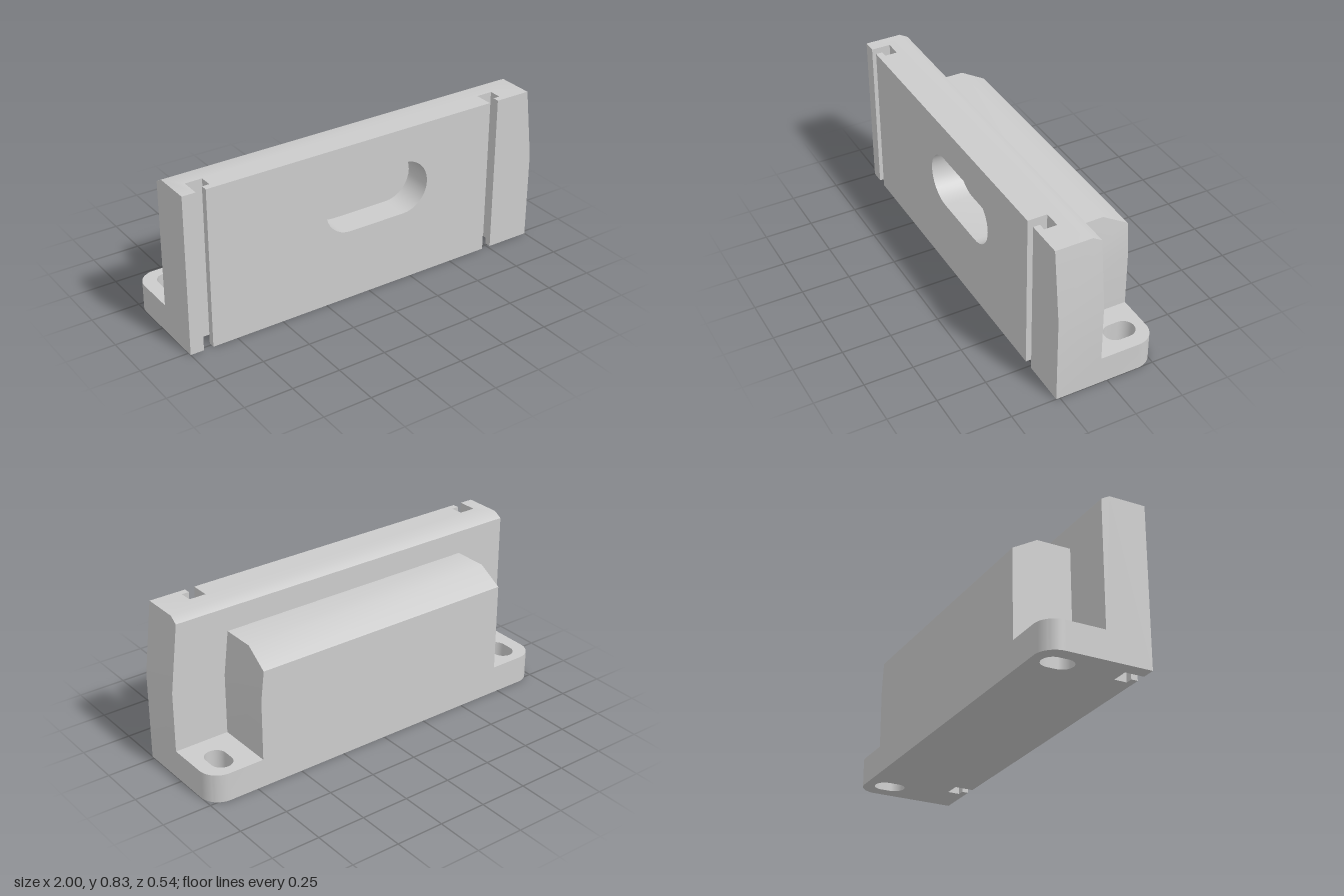
import * as THREE from 'three';
import { mergeGeometries, toCreasedNormals } from 'three/addons/utils/BufferGeometryUtils.js';

// Main dimensions
const F = 0.269, B = -0.269;              // front and back planes
const P = 0.036;                          // rear plane of the tall plate
const H = 0.829, HC = 0.804, ZC = 0.08;   // plate top, chamfer start height, chamfer depth
const EAR = 0.147, R = 0.1;               // ear height, ear corner radius
const BEND = 0.46;                        // height where the +x ends start leaning
const BL = -0.72, BR = 0.715, BH = 0.684; // rear body ends and height
const FLOOR = 0.12;                       // pocket floor

const material = new THREE.MeshStandardMaterial({ color: 0xcccccc });
const v = (x, y, z) => new THREE.Vector3(x, y, z);

// Drawing axes (u, w) for each facing direction; left is +x
const AXES = {
  front: [v(1, 0, 0), v(0, 1, 0)],
  back: [v(-1, 0, 0), v(0, 1, 0)],
  left: [v(0, 0, -1), v(0, 1, 0)],
  right: [v(0, 0, 1), v(0, 1, 0)],
  top: [v(1, 0, 0), v(0, 0, -1)],
  bottom: [v(1, 0, 0), v(0, 0, 1)],
};

// Flat face: outline points are [x,y], [z,y] or [x,z]; 'at' is the plane's position
function face(dir, at, outline, holes = []) {
  const [u, w] = AXES[dir];
  const n = u.clone().cross(w);
  const su = u.x + u.z, sw = w.y + w.z;
  const pts = (list) => list.map(([a, b]) => new THREE.Vector2(a * su, b * sw));
  const shape = new THREE.Shape(pts(outline));
  shape.holes = holes.map((h) => new THREE.Path(pts(h)));
  const m = new THREE.Matrix4().makeBasis(u, w, n);
  m.setPosition(n.clone().multiplyScalar(at * (n.x + n.y + n.z)));
  const g = new THREE.ShapeGeometry(shape).applyMatrix4(m).toNonIndexed();
  g.deleteAttribute('uv');
  g.deleteAttribute('normal');
  return g;
}

function fromPositions(list) {
  const g = new THREE.BufferGeometry();
  g.setAttribute('position', new THREE.Float32BufferAttribute(list, 3));
  return g;
}

// Convex panel through 3D corners, counter-clockwise from outside
function panel(...c) {
  const tri = [];
  for (let i = 1; i < c.length - 1; i++) tri.push(...c[0], ...c[i], ...c[i + 1]);
  return fromPositions(tri);
}

// Wall swept from a 3D path along an offset
function wall(path, offset) {
  const tri = [];
  for (let i = 0; i < path.length - 1; i++) {
    const a = path[i], b = path[i + 1];
    const c = b.clone().add(offset), d = a.clone().add(offset);
    for (const p of [a, b, c, a, c, d]) tri.push(p.x, p.y, p.z);
  }
  return fromPositions(tri);
}

function arc(cx, cy, r, a0, a1, n = 16) {
  return Array.from({ length: n + 1 }, (_, i) => {
    const a = a0 + ((a1 - a0) * i) / n;
    return [cx + r * Math.cos(a), cy + r * Math.sin(a)];
  });
}

// Rounded slot outline, counter-clockwise
function slot(cx, cy, hw, hh) {
  const r = Math.min(hw, hh), dx = hw - r, dy = hh - r;
  const s = dx > 0 ? -Math.PI / 2 : 0;
  return [...arc(cx + dx, cy + dy, r, s, s + Math.PI),
    ...arc(cx - dx, cy - dy, r, s + Math.PI, s + 2 * Math.PI)];
}

const upright = (path, height) => wall(path.map(([x, z]) => v(x, 0, z)), v(0, height, 0));
const closed = (path) => [...path, path[0]];
const rect = (a0, b0, a1, b1) => [[a0, b0], [a1, b0], [a1, b1], [a0, b1]];

// Shallow chamfers shade smoothly, all other edges stay sharp
function mesh(name, parts) {
  const m = new THREE.Mesh(toCreasedNormals(mergeGeometries(parts), 0.6), material);
  m.name = name;
  return m;
}

export function createModel() {
  const group = new THREE.Group();
  group.name = 'mountingBlock';

  // L-shaped grooves in plan, entered from the front
  const groove = (x) => [[x, F], [x, 0.17], [x + 0.087, 0.17],
    [x + 0.087, 0.235], [x + 0.05, 0.235], [x + 0.05, F]];
  const grooveR = groove(-0.93), grooveL = groove(0.715);
  const frontEdge = [[-1, F], ...grooveR, ...grooveL];

  // Ear corners and bolt slots in plan, pocket in elevation
  const cornerL = arc(1 - R, B + R, R, 0, -Math.PI / 2);
  const cornerR = arc(R - 1, B + R, R, -Math.PI / 2, -Math.PI);
  const boltL = slot(0.875, -0.137, 0.055, 0.08);
  const boltR = slot(-0.875, -0.137, 0.055, 0.08);
  const pocket = slot(0.045, 0.51, 0.295, 0.139);

  // Tall plate with chamfered rear edge
  group.add(mesh('frontPlate', [
    upright([[-1, F], ...grooveR], H),
    upright(grooveL, H),
    face('front', F, rect(-0.88, 0, 0.715, H), [pocket]),
    face('front', F, [[0.765, 0], [1, 0], [1, BEND], [0.955, H], [0.765, H]]),
    face('top', H, [...frontEdge, [0.955, F], [0.955, ZC], [-1, ZC]]),
    panel([0.958, HC, P], [-1, HC, P], [-1, H, ZC], [0.955, H, ZC]),
    face('back', P, [[-1, EAR], [BL, EAR], [BL, BH], [0.688, BH], [BR, BEND], [BR, EAR],
      [1, EAR], [1, BEND], [0.958, HC], [-1, HC]]),
  ]));

  // Blind oblong pocket in the front face
  group.add(mesh('frontPocket', [
    wall(closed(pocket).map(([x, y]) => v(x, y, F)), v(0, 0, FLOOR - F)),
    face('front', FLOOR, pocket),
  ]));

  // Continuous end and back walls with rounded corners and a leaning +x end
  group.add(mesh('outerWalls', [
    face('left', 1, [[F, 0], [F, BEND], [P, BEND], [P, EAR], [B + R, EAR], [B + R, 0]]),
    panel([1, BEND, F], [1, BEND, P], [0.958, HC, P], [0.955, H, ZC], [0.955, H, F]),
    face('right', -1, [[F, 0], [F, H], [ZC, H], [P, HC], [P, EAR], [B + R, EAR], [B + R, 0]]),
    face('back', B, [[R - 1, 0], [1 - R, 0], [1 - R, EAR], [BR, EAR], [BR, BEND],
      [0.697, 0.61], [BL, 0.61], [BL, EAR], [R - 1, EAR]]),
    upright(cornerL, EAR),
    upright(cornerR, EAR),
  ]));

  // Lower rear body with sloped top edge and leaning +x end
  group.add(mesh('rearBody', [
    face('right', BL, [[P, EAR], [P, BH], [-0.14, BH], [B, 0.61], [B, EAR]]),
    face('left', BR, rect(P, EAR, B, BEND)),
    panel([BR, BEND, P], [BR, BEND, B], [0.697, 0.61, B], [0.688, BH, -0.14], [0.688, BH, P]),
    face('top', BH, rect(BL, P, 0.688, -0.14)),
    panel([0.697, 0.61, B], [BL, 0.61, B], [BL, BH, -0.14], [0.688, BH, -0.14]),
  ]));

  // Ear tops and bolt slots
  group.add(mesh('mountingEars', [
    face('top', EAR, [[-1, P], [BL, P], [BL, B], ...cornerR], [boltR]),
    face('top', EAR, [[BR, P], [1, P], ...cornerL, [BR, B]], [boltL]),
    upright(closed(boltL), EAR),
    upright(closed(boltR), EAR),
  ]));

  // Underside
  group.add(mesh('base', [
    face('bottom', 0, [...frontEdge, [1, F], ...cornerL, ...cornerR], [boltL, boltR]),
  ]));

  return group;
}
